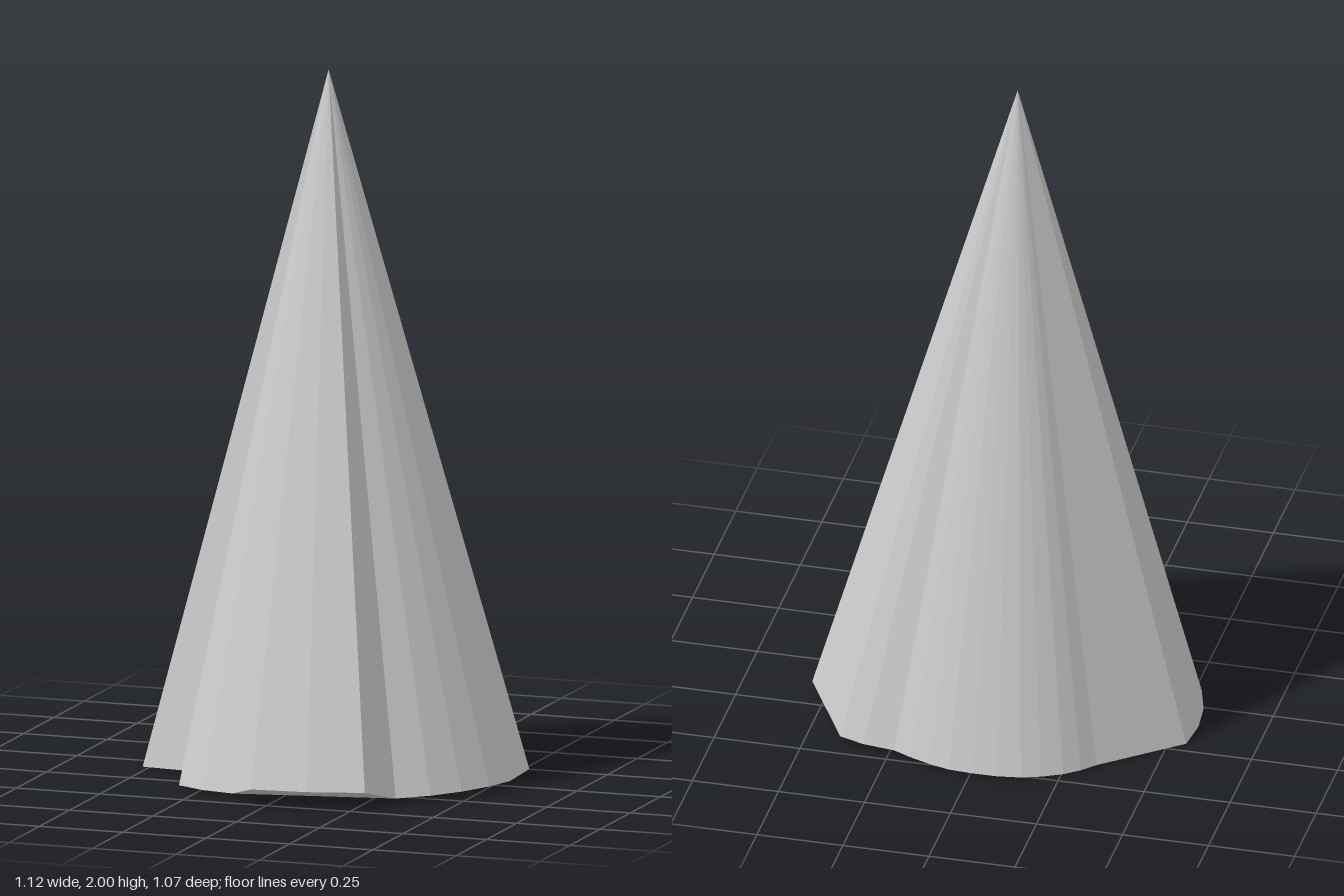
import * as THREE from 'three';

// Ragged base outline as [x, z], clockwise seen from above, in three runs.
const rim = [
  [-0.55, -0.21], [-0.335, -0.395], [-0.3, -0.435], [-0.257, -0.47], [-0.2, -0.5],
  [-0.147, -0.52], [-0.08, -0.532], [-0.01, -0.535], [0.06, -0.532], [0.12, -0.517],
  [0.18, -0.495], [0.234, -0.47], [0.326, -0.46], [0.4, -0.435], [0.55, -0.157],
  [0.558, 0.025], [0.53, 0.118], [0.48, 0.21], [0.416, 0.29], [0.335, 0.355],
];
const lip = [[0.284, 0.47], [0.126, 0.515], [-0.035, 0.532]]; // raised front edge
const rimEnd = [
  [-0.138, 0.403], [-0.237, 0.376], [-0.326, 0.325], [-0.33, 0.193],
  [-0.395, 0.113], [-0.52, 0.09], [-0.55, -0.008], [-0.56, -0.11],
];

// Flat-shaded mesh from a list of triangle corners.
function facetMesh(name, corners) {
  const geometry = new THREE.BufferGeometry().setFromPoints(corners);
  geometry.computeVertexNormals();
  const material = new THREE.MeshStandardMaterial({ color: 0xcccccc, flatShading: true });
  const mesh = new THREE.Mesh(geometry, material);
  mesh.name = name;
  return mesh;
}

// Closed ring of triangles between a loop and one point.
function fan(loop, point, upward) {
  return loop.flatMap((a, i) => {
    const b = loop[(i + 1) % loop.length];
    return upward ? [point, b, a] : [point, a, b];
  });
}

export function createModel() {
  const group = new THREE.Group();
  group.name = 'spire';

  // The ground edge leans slightly up towards the left; the lip is lifted.
  const ground = ([x, z]) => new THREE.Vector3(x, 0.01 + 0.018 * x, z);
  const start = rim.map(ground);
  const end = rimEnd.map(ground);
  const raised = lip.map(([x, z]) => new THREE.Vector3(x, 0.05, z));

  // Off-centre cone over the whole outline
  const apex = new THREE.Vector3(-0.035, 2, -0.11);
  group.add(facetMesh('coneSides', fan([...start, ...raised, ...end], apex, true)));

  // Flat underside without the lip
  const centre = new THREE.Vector3(0, 0.01, 0);
  group.add(facetMesh('underside', fan([...start, ...end], centre, false)));

  // Sloping underside of the raised front lip
  const flap = [start.at(-1), ...raised, end[0]];
  const corners = [];
  for (let i = 1; i < flap.length - 1; i++) corners.push(flap[0], flap[i], flap[i + 1]);
  group.add(facetMesh('frontLipUnderside', corners));

  return group;
}
